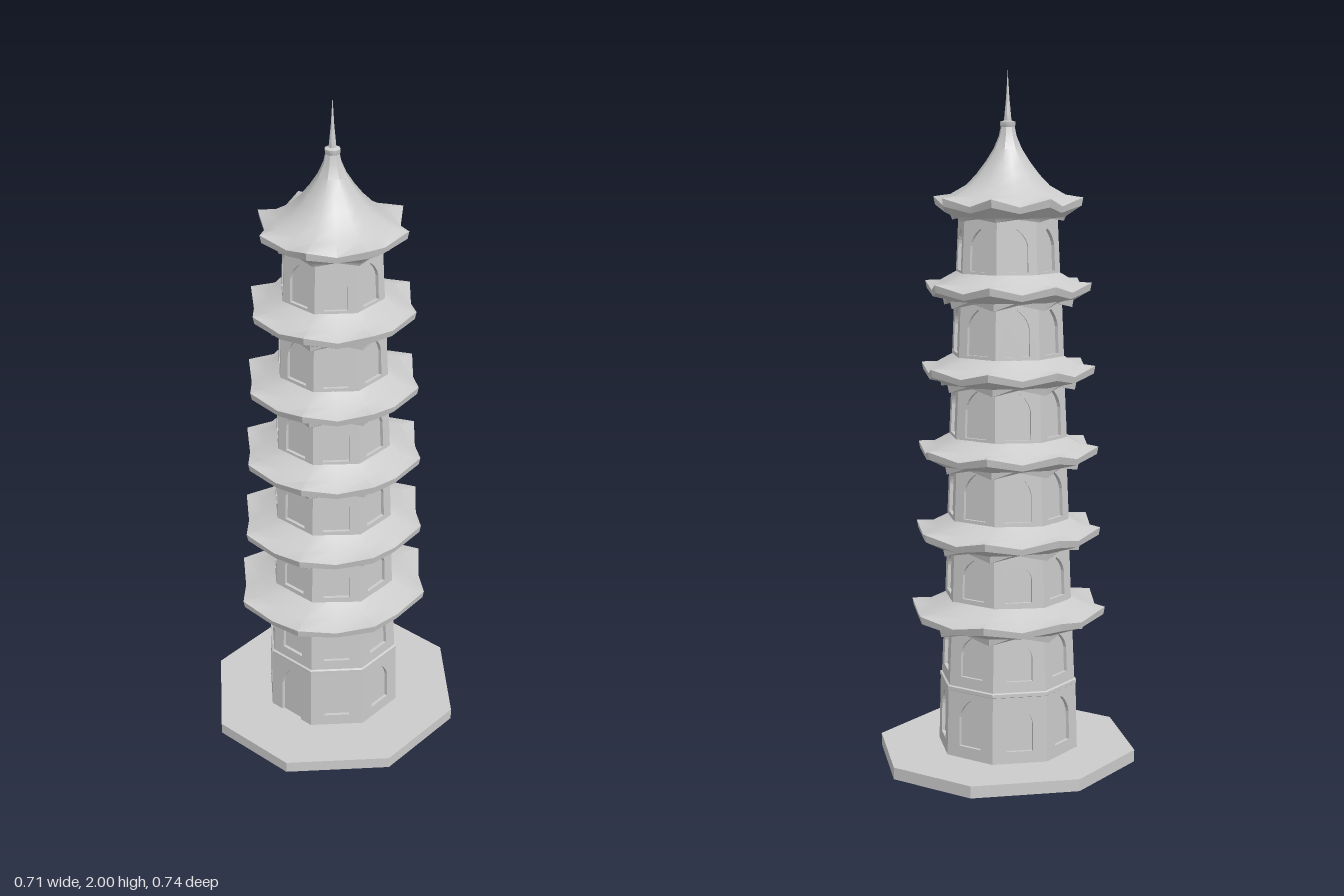
import * as THREE from 'three';
import { toCreasedNormals } from 'three/addons/utils/BufferGeometryUtils.js';

const material = new THREE.MeshStandardMaterial({ color: 0xcccccc, side: THREE.DoubleSide });
const EIGHTH = Math.PI / 4;
const TAN = Math.tan(EIGHTH / 2);
const COS = Math.cos(EIGHTH / 2);

function addMesh(parent, name, geometry) {
  const mesh = new THREE.Mesh(geometry, material);
  mesh.name = name;
  parent.add(mesh);
  return mesh;
}

// Eight-cornered loft. Section: [reach, y, corner lift, mid-edge pull-in factor]
function loft(sections, crease = 0.6) {
  const point = ([reach, y, lift = 0, pull = 1], j) => {
    const angle = j * EIGHTH / 2;
    const corner = j % 2 !== 0;
    const r = corner ? reach / COS : reach * pull;
    return [r * Math.sin(angle), y + (corner ? lift : 0), r * Math.cos(angle)];
  };
  const positions = [];
  for (let i = 0; i < sections.length - 1; i++) {
    for (let j = 0; j < 16; j++) {
      const a = point(sections[i], j), b = point(sections[i], j + 1);
      const c = point(sections[i + 1], j), d = point(sections[i + 1], j + 1);
      positions.push(...a, ...c, ...b, ...b, ...c, ...d);
    }
  }
  const geometry = new THREE.BufferGeometry();
  geometry.setAttribute('position', new THREE.Float32BufferAttribute(positions, 3));
  return toCreasedNormals(geometry, crease);
}

// Pointed arch outline
function arch(path, halfWidth, bottom, top) {
  const spring = bottom + (top - bottom) * 0.6;
  path.moveTo(-halfWidth, bottom);
  path.lineTo(halfWidth, bottom);
  path.lineTo(halfWidth, spring);
  path.quadraticCurveTo(halfWidth * 0.85, spring + (top - spring) * 0.6, 0, top);
  path.quadraticCurveTo(-halfWidth * 0.85, spring + (top - spring) * 0.6, -halfWidth, spring);
  path.closePath();
  return path;
}

// One storey of eight leaning wall panels with recessed arched openings
function createStorey({ y0, y1, a0, a1, w0, w1, door = false }, name) {
  const storey = new THREE.Group();
  storey.name = name;
  const height = y1 - y0;
  const tilt = -Math.atan2(a0 - a1, height);
  const half = Math.min(0.038, a0 * TAN * 0.55);
  for (let k = 0; k < 8; k++) {
    const isDoor = door && k === 0;
    const bottom = isDoor ? 0.002 : w0 - y0;
    const top = w1 - y0;
    const wall = new THREE.Shape([
      new THREE.Vector2(-a0 * TAN, 0), new THREE.Vector2(a0 * TAN, 0),
      new THREE.Vector2(a1 * TAN, height), new THREE.Vector2(-a1 * TAN, height),
    ]);
    wall.holes.push(arch(new THREE.Path(), half, bottom, top));
    const place = (g, depth) => g.translate(0, 0, -depth).rotateX(tilt)
      .translate(0, y0, a0).rotateY(k * EIGHTH);
    const panel = new THREE.ExtrudeGeometry(wall, { depth: 0.012, bevelEnabled: false, curveSegments: 5 });
    addMesh(storey, 'wallPanel', place(panel, 0.012));
    const inset = new THREE.ShapeGeometry(arch(new THREE.Shape(), half, bottom, top), 5);
    addMesh(storey, isDoor ? 'doorInset' : 'windowInset', place(inset, 0.01));
  }
  return storey;
}

// Overhanging roof with upturned corners and a fringe below
function createEave(tip, reach, upper, lower, scaleX) {
  const eave = new THREE.Group();
  eave.name = 'eaveRoof';
  const mid = (upper + reach) / 2;
  addMesh(eave, 'roofSkirt', loft([
    [upper - 0.005, tip + 0.03],
    [mid, tip - 0.002, 0.004, 0.995],
    [reach, tip - 0.022, 0.022, 0.975],
    [reach - 0.004, tip - 0.04, 0.018, 0.975],
    [reach * 0.8, tip - 0.048],
    [lower - 0.005, tip - 0.044],
  ]));
  addMesh(eave, 'fringe', loft([
    [reach * 0.79, tip - 0.044],
    [reach * 0.77, tip - 0.054, -0.016, 0.97],
    [reach * 0.73, tip - 0.054, -0.014, 0.97],
    [lower - 0.005, tip - 0.048],
  ], 0.4));
  eave.scale.x = scaleX;
  return eave;
}

export function createModel() {
  const model = new THREE.Group();
  model.name = 'pagoda';

  // Octagonal base slab, open under the tower
  const slab = new THREE.Shape([
    [0.135, 0.37], [-0.135, 0.37], [-0.353, 0.15], [-0.353, -0.15],
    [-0.135, -0.37], [0.135, -0.37], [0.353, -0.15], [0.353, 0.15],
  ].map(([x, z]) => new THREE.Vector2(x, z)));
  const opening = [];
  for (let k = 0; k < 8; k++) {
    const angle = (k + 0.5) * EIGHTH;
    opening.push(new THREE.Vector2(0.185 / COS * Math.cos(angle), 0.185 / COS * Math.sin(angle)));
  }
  slab.holes.push(new THREE.Path(opening));
  addMesh(model, 'baseSlab', new THREE.ExtrudeGeometry(slab, { depth: 0.035, bevelEnabled: false }).rotateX(-Math.PI / 2));

  const tower = new THREE.Group();
  tower.name = 'tower';
  tower.position.x = -0.005;
  model.add(tower);

  // Storeys: y range, wall reach at bottom and top, opening range
  const storeys = [
    { y0: 0.03, y1: 0.235, a0: 0.193, a1: 0.188, w0: 0.07, w1: 0.21, door: true },
    { y0: 0.235, y1: 0.43, a0: 0.185, a1: 0.177, w0: 0.275, w1: 0.395 },
    { y0: 0.46, y1: 0.67, a0: 0.175, a1: 0.168, w0: 0.503, w1: 0.62 },
    { y0: 0.70, y1: 0.905, a0: 0.168, a1: 0.16, w0: 0.735, w1: 0.868 },
    { y0: 0.935, y1: 1.14, a0: 0.162, a1: 0.153, w0: 0.97, w1: 1.105 },
    { y0: 1.17, y1: 1.375, a0: 0.153, a1: 0.145, w0: 1.205, w1: 1.335 },
    { y0: 1.405, y1: 1.62, a0: 0.142, a1: 0.132, w0: 1.44, w1: 1.56 },
  ];
  storeys.forEach((s, i) => tower.add(createStorey(s, `storey${i + 1}`)));

  // Moulding around the tall ground storey
  addMesh(tower, 'moulding', loft([
    [0.18, 0.246], [0.19, 0.241], [0.19, 0.231], [0.183, 0.226],
  ], 0.3));

  // Five eaves: corner height, reach, width factor
  const eaves = [
    [0.462, 0.279, 0.945], [0.698, 0.263, 0.95], [0.935, 0.25, 0.98],
    [1.168, 0.238, 0.99], [1.405, 0.225, 1],
  ];
  eaves.forEach(([tip, reach, scaleX], i) => {
    tower.add(createEave(tip, reach, storeys[i + 2].a0, storeys[i + 1].a1, scaleX));
  });

  // Sweeping top roof
  addMesh(tower, 'topRoof', loft([
    [0.018, 1.845], [0.024, 1.815], [0.038, 1.78], [0.06, 1.743], [0.085, 1.708],
    [0.112, 1.678], [0.155, 1.648, 0.004, 0.98],
    [0.201, 1.622, 0.023, 0.925],
    [0.197, 1.604, 0.018, 0.925],
    [0.155, 1.592], [0.15, 1.587, -0.008, 0.97], [0.125, 1.592],
  ], 0.7));

  // Finial with spike
  const finial = [[0.018, 1.835], [0.022, 1.845], [0.022, 1.855], [0.011, 1.859], [0.009, 1.88], [0.005, 1.92], [0, 2]]
    .map(([r, y]) => new THREE.Vector2(r, y));
  addMesh(tower, 'finial', toCreasedNormals(new THREE.LatheGeometry(finial, 8, EIGHTH / 2), 0.9));

  return model;
}
